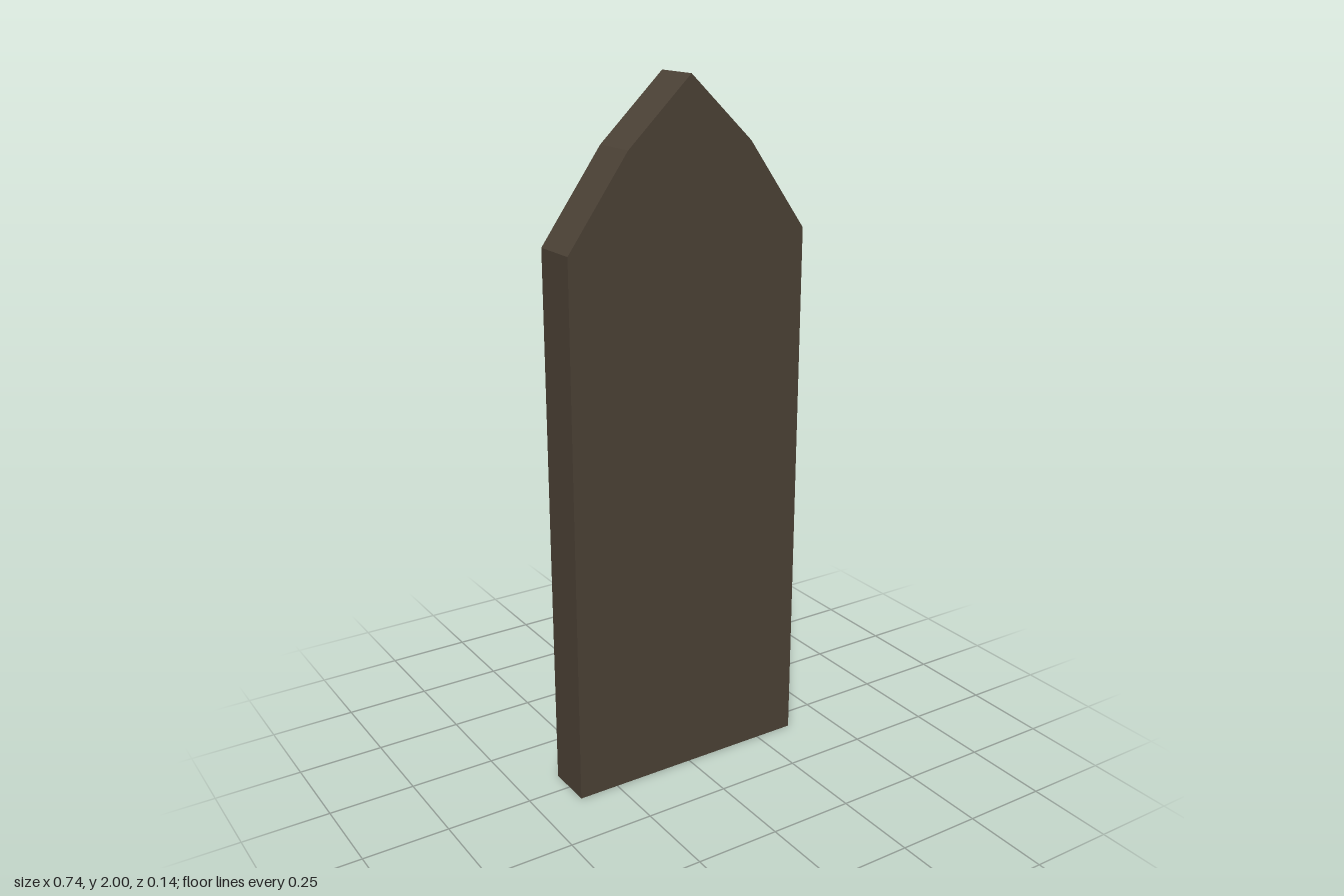
import * as THREE from 'three';

const wood = new THREE.MeshStandardMaterial({ color: 0x4c4236, flatShading: true });
const glass = new THREE.MeshStandardMaterial({ color: 0x808080, flatShading: true });

// Symmetric pointed-arch outline from its right-hand corners and apex height
function archPoints(corners, apex) {
  const right = corners.map(([x, y]) => new THREE.Vector2(x, y));
  const left = corners.map(([x, y]) => new THREE.Vector2(-x, y)).reverse();
  return [...right, new THREE.Vector2(0, apex), ...left];
}

const outer = archPoints([[0.37, 0], [0.37, 1.57], [0.19, 1.82]], 2);
const inner = archPoints([[0.318, 0.058], [0.318, 1.553], [0.159, 1.775]], 1.92);

export function createModel() {
  const model = new THREE.Group();
  model.name = 'archedWindow';

  const add = (name, geometry, material, x = 0, y = 0, z = 0) => {
    const mesh = new THREE.Mesh(geometry, material);
    mesh.name = name;
    mesh.position.set(x, y, z);
    model.add(mesh);
  };
  const slab = (shape, depth) =>
    new THREE.ExtrudeGeometry(shape, { depth, bevelEnabled: false });

  // Solid board closing the front
  add('frontBoard', slab(new THREE.Shape(outer), 0.09), wood, 0, 0, -0.02);

  // Raised frame around the recess at the back
  const rim = new THREE.Shape(outer);
  rim.holes.push(new THREE.Path(inner));
  add('frame', slab(rim, 0.05), wood, 0, 0, -0.07);

  // Glass pane lying in the recess
  add('glassPane', slab(new THREE.Shape(inner), 0.004), glass, 0, 0, -0.023);

  // Upright glazing bar
  add('uprightBar', new THREE.BoxGeometry(0.032, 1.85, 0.03), wood, 0, 0.985, -0.035);

  // Cross bars, slightly proud of the upright
  for (const y of [0.335, 0.72, 1.1, 1.48]) {
    add('crossBar', new THREE.BoxGeometry(0.64, 0.036, 0.037), wood, 0, y, -0.0385);
  }

  return model;
}
